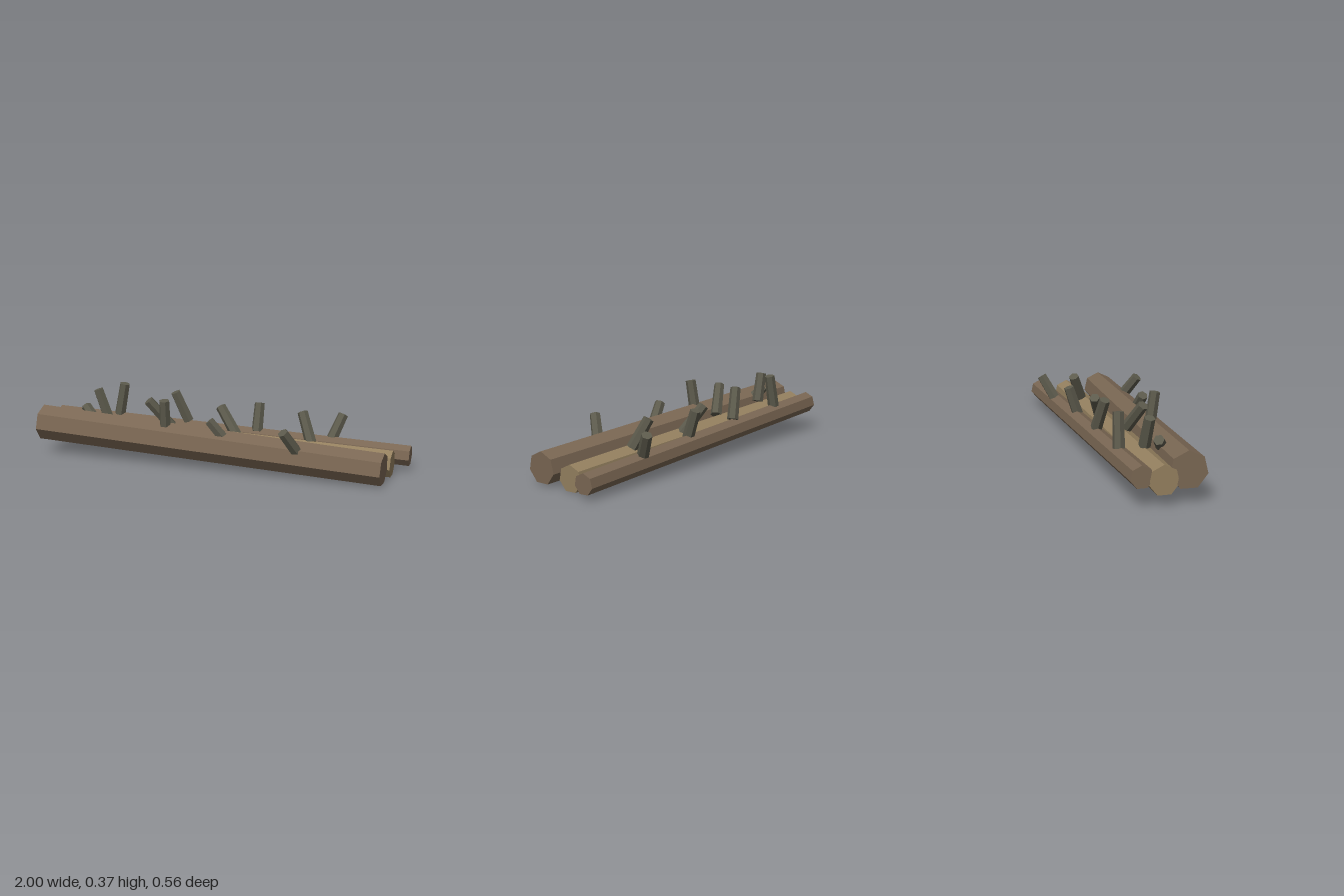
import * as THREE from 'three';

const V = (a) => new THREE.Vector3(...a);
const mat = (color) => new THREE.MeshStandardMaterial({ color, flatShading: true });

// Tapered prism running from point a to point b, one corner turned towards "up"
function stick(name, a, b, rA, rB, sides, material, up) {
  const from = V(a), to = V(b);
  const dir = to.clone().sub(from);
  const mesh = new THREE.Mesh(new THREE.CylinderGeometry(rB, rA, dir.length(), sides), material);
  dir.normalize();
  const side = new THREE.Vector3().crossVectors(dir, V(up)).normalize();
  const top = new THREE.Vector3().crossVectors(side, dir);
  mesh.quaternion.setFromRotationMatrix(new THREE.Matrix4().makeBasis(side, dir, top));
  mesh.position.copy(from).add(to).multiplyScalar(0.5);
  mesh.name = name;
  return mesh;
}

export function createModel() {
  const group = new THREE.Group();
  group.name = 'logPile';
  const bark = mat(0x7a6753);
  const paleBark = mat(0x94805f);
  const twigMat = mat(0x5c5a4c);

  // Three seven-sided logs: left end, right end, radii
  const logs = [
    ['frontLog', [-0.997, 0.172, 0.09], [0.92, 0.089, 0.161], 0.096, 0.085, bark],
    ['middleLog', [-0.997, 0.132, -0.03], [0.927, 0.067, -0.035], 0.077, 0.071, paleBark],
    ['backLog', [-0.997, 0.157, -0.138], [0.995, 0.078, -0.182], 0.058, 0.055, bark],
  ];
  for (const [name, a, b, rA, rB, m] of logs) {
    group.add(stick(name, a, b, rA, rB, 7, m, [0, 1, 0]));
  }

  // Broken-off branches: base near the log, tip
  const twigs = {
    backTwig: [
      [[-0.64, 0.19, -0.148], [-0.605, 0.366, -0.142]],
      [[-0.235, 0.18, -0.155], [-0.3, 0.342, -0.126]],
      [[0.16, 0.15, -0.155], [0.16, 0.298, -0.203]],
      [[0.567, 0.13, -0.187], [0.613, 0.256, -0.253]],
    ],
    middleTwig: [
      [[0.08, 0.14, -0.05], [-0.033, 0.283, -0.11]],
      [[0.487, 0.14, -0.052], [0.425, 0.288, -0.11]],
      [[-0.28, 0.18, -0.01], [-0.39, 0.326, 0.05]],
      [[-0.66, 0.2, -0.025], [-0.71, 0.353, -0.014]],
    ],
    frontTwig: [
      [[-0.7, 0.19, 0.055], [-0.775, 0.26, 0.012]],
      [[-0.265, 0.19, 0.125], [-0.26, 0.357, 0.152]],
      [[0.075, 0.17, 0.145], [-0.005, 0.27, 0.165]],
      [[0.475, 0.15, 0.19], [0.418, 0.263, 0.258]],
    ],
  };
  for (const [name, list] of Object.entries(twigs)) {
    list.forEach(([a, b], i) => {
      group.add(stick(name + (i + 1), a, b, 0.031, 0.028, 6, twigMat, [1, 0, 0]));
    });
  }
  return group;
}
